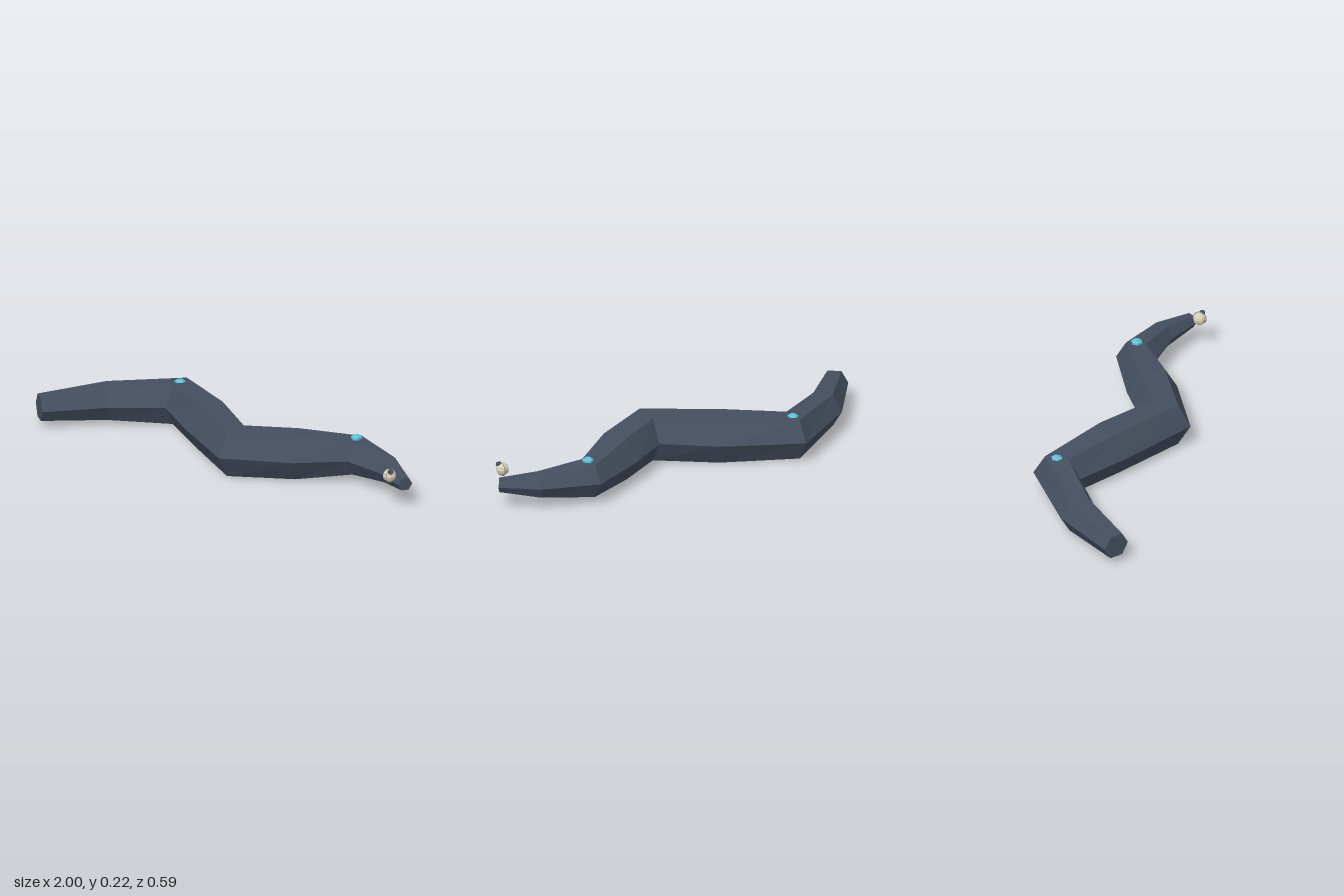
import * as THREE from 'three';

export function createModel() {
  const model = new THREE.Group();
  const mat = (name, color) => {
    const m = new THREE.MeshStandardMaterial({ color, flatShading: true });
    m.name = name;
    return m;
  };
  const slate = mat('slate', 0x454f5f);
  const aqua = mat('aqua', 0x5cc0da);
  const bone = mat('bone', 0xd6cfb8);
  const taupe = mat('taupe', 0x8d8573);

  const add = (name, geometry, material, x = 0, y = 0, z = 0) => {
    const mesh = new THREE.Mesh(geometry, material);
    mesh.name = name;
    mesh.position.set(x, y, z);
    model.add(mesh);
    return mesh;
  };

  // Body rings: back x, back z, front x, front z, centre height
  const rings = [
    [-1.0, 0.21, -0.9, 0.29, 0.097],
    [-0.805, -0.064, -0.69, 0.075, 0.102],
    [-0.475, -0.298, -0.468, -0.075, 0.107],
    [-0.11, -0.134, -0.235, 0.08, 0.11],
    [0.113, 0.03, 0.109, 0.275, 0.112],
    [0.297, -0.09, 0.42, 0.113, 0.113],
    [0.577, -0.23, 0.605, -0.048, 0.115],
    [0.84, -0.144, 0.802, -0.027, 0.115],
    [1.0, -0.022, 0.963, 0.034, 0.114],
  ];
  const sides = 6;
  const points = [];
  const index = [];
  rings.forEach(([bx, bz, fx, fz, cy]) => {
    const sx = (fx - bx) / 2, sz = (fz - bz) / 2;
    const half = Math.hypot(sx, sz);
    for (let j = 0; j < sides; j++) {
      const a = (j / sides) * Math.PI * 2;
      points.push((bx + fx) / 2 + sx * Math.cos(a), cy + half * Math.sin(a), (bz + fz) / 2 + sz * Math.cos(a));
    }
  });
  for (let i = 0; i < rings.length - 1; i++) {
    for (let j = 0; j < sides; j++) {
      const k = (j + 1) % sides;
      const a = i * sides + j, b = a + sides, c = (i + 1) * sides + k, d = i * sides + k;
      index.push(a, b, c, a, c, d);
    }
  }
  // End caps
  const last = (rings.length - 1) * sides;
  for (let j = 1; j < sides - 1; j++) {
    index.push(0, j, j + 1, last, last + j + 1, last + j);
  }
  const body = new THREE.BufferGeometry();
  body.setAttribute('position', new THREE.Float32BufferAttribute(points, 3));
  body.setIndex(index);
  const bodyFlat = body.toNonIndexed();
  bodyFlat.computeVertexNormals();
  add('body', bodyFlat, slate);

  // Flattened studs on the back at two bends
  [[-0.47, 0.2, -0.187], [0.591, 0.203, -0.135]].forEach((p) => {
    const stud = add('backStud', new THREE.SphereGeometry(0.028, 6, 5), aqua, ...p);
    stud.scale.y = 0.52;
    stud.rotation.y = Math.PI / 6;
  });

  // Round charm beside the tip, with a milled rim and a small knob
  add('charmBead', new THREE.SphereGeometry(0.031, 8, 6), bone, 0.932, 0.162, 0.06);
  const rim = add('charmRim', new THREE.TorusGeometry(0.031, 0.002, 4, 40), taupe, 0.936, 0.162, 0.06);
  rim.rotation.y = Math.PI / 2;
  add('charmKnob', new THREE.DodecahedronGeometry(0.015), slate, 0.945, 0.185, 0.069);

  return model;
}
